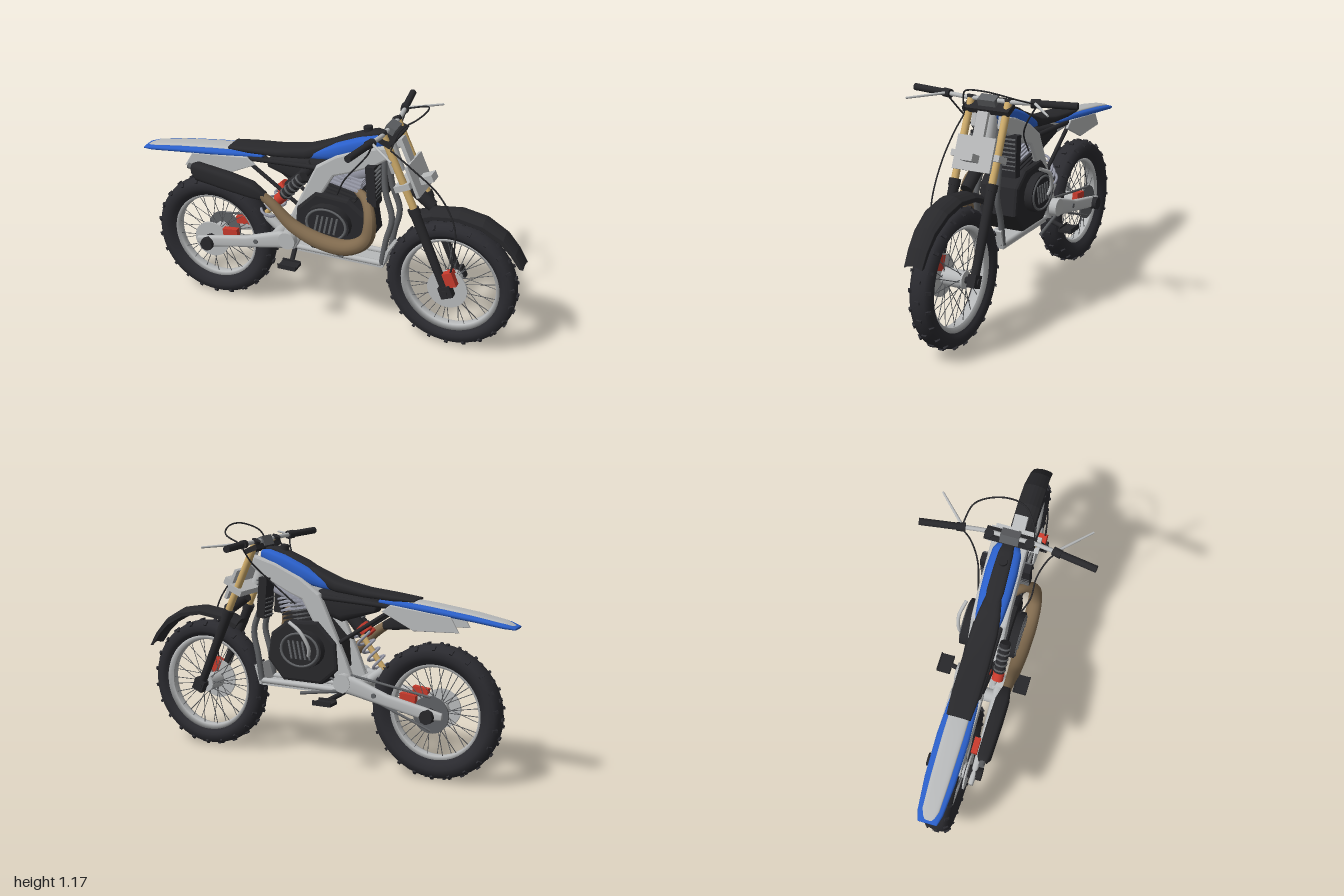
import * as THREE from 'three';
import { mergeGeometries } from 'three/addons/utils/BufferGeometryUtils.js';

const mat = (name, color) => {
  const m = new THREE.MeshStandardMaterial({ color, side: THREE.DoubleSide });
  m.name = name;
  return m;
};
const V = (p) => new THREE.Vector3(...p);

export function createModel() {
  const model = new THREE.Group();
  const rubber = mat('rubber', 0x2b2b30), black = mat('black plastic', 0x28282b), grey = mat('light grey', 0xb8babb);
  const blue = mat('blue', 0x2a5fc9), gold = mat('gold', 0xd0ad6b), bronze = mat('bronze', 0x806a4e);
  const red = mat('red', 0xc83a2c), steel = mat('dark steel', 0x5f6164), lilac = mat('pale alloy', 0x9b9dab);

  const add = (name, geo, material, parent = model) => {
    const m = new THREE.Mesh(geo, material);
    m.name = name;
    parent.add(m);
    return m;
  };
  const box = (name, size, pos, m, tilt = 0) => {
    const o = add(name, new THREE.BoxGeometry(...size), m);
    o.position.set(...pos);
    o.rotation.z = tilt;
    return o;
  };
  // straight cylinder between two points
  const rodGeo = (a, b, r0, r1 = r0, sides = 16) => {
    const A = V(a), B = V(b), d = B.clone().sub(A);
    const g = new THREE.CylinderGeometry(r1, r0, d.length(), sides);
    g.applyQuaternion(new THREE.Quaternion().setFromUnitVectors(new THREE.Vector3(0, 1, 0), d.normalize()));
    return g.translate(...A.add(B).multiplyScalar(0.5).toArray());
  };
  const rod = (name, a, b, r, m, r1 = r) => add(name, rodGeo(a, b, r, r1), m);
  // curved pipe, with an optional list of radius factors along its length
  const pipe = (name, pts, r, m, taper, sides = 10) => {
    const curve = new THREE.CatmullRomCurve3(pts.map(V)), n = 48;
    const g = new THREE.TubeGeometry(curve, n, r, sides);
    if (taper) {
      const p = g.attributes.position;
      for (let i = 0; i <= n; i++) {
        const c = curve.getPointAt(i / n), t = (i / n) * (taper.length - 1), k = Math.min(Math.floor(t), taper.length - 2);
        const f = THREE.MathUtils.lerp(taper[k], taper[k + 1], t - k);
        for (let j = 0; j <= sides; j++) {
          const q = i * (sides + 1) + j, v = new THREE.Vector3().fromBufferAttribute(p, q).sub(c).multiplyScalar(f).add(c);
          p.setXYZ(q, v.x, v.y, v.z);
        }
      }
      g.computeVertexNormals();
    }
    return add(name, g, m);
  };
  // side outline pulled out across z, centred on z
  const slab = (name, pts, z, width, m, bevel = 0.006, smooth = false) => {
    const v = pts.map((p) => new THREE.Vector2(...p));
    const shape = smooth ? new THREE.Shape().moveTo(...pts[0]).splineThru(v.slice(1)) : new THREE.Shape(v);
    const g = new THREE.ExtrudeGeometry(shape, { depth: width - 2 * bevel, bevelEnabled: bevel > 0, bevelSize: bevel, bevelThickness: bevel, bevelSegments: 2, curveSegments: 24, steps: 6 });
    return add(name, g.translate(0, 0, z - width / 2 + bevel), m);
  };
  // body along x from stations [x, top, bottom, half width]
  const loft = (name, st, m, n = 20) => {
    const pos = [], idx = [], pw = (v) => Math.sign(v) * Math.abs(v) ** 0.6;
    for (const [x, t, b, w] of st) for (let j = 0; j < n; j++) {
      const a = (j / n) * Math.PI * 2;
      pos.push(x, (t + b) / 2 + ((t - b) / 2) * pw(Math.sin(a)), w * pw(Math.cos(a)));
    }
    const last = st.length - 1;
    for (const i of [0, last]) pos.push(st[i][0], (st[i][1] + st[i][2]) / 2, 0);
    const c0 = st.length * n;
    for (let j = 0; j < n; j++) {
      const k = (j + 1) % n;
      for (let i = 0; i < last; i++) {
        const a = i * n + j, b = i * n + k;
        idx.push(a, a + n, b, b, a + n, b + n);
      }
      idx.push(c0, j, k, c0 + 1, last * n + k, last * n + j);
    }
    const g = new THREE.BufferGeometry();
    g.setAttribute('position', new THREE.Float32BufferAttribute(pos, 3));
    g.setIndex(idx);
    g.computeVertexNormals();
    return add(name, g, m);
  };
  const lathe = (pts) => new THREE.LatheGeometry(pts.map((p) => new THREE.Vector2(...p)), 64).rotateX(Math.PI / 2);

  // wheels: tyre, tread, rim, spokes, hub, disc
  const wheel = (name, x, rIn, w) => {
    const g = new THREE.Group();
    g.name = name;
    g.position.set(x, 0.332, 0);
    model.add(g);
    add('tyre', lathe([[rIn, -0.03], [rIn + 0.02, -0.8 * w], [0.275, -w], [0.305, -0.93 * w], [0.32, -0.55 * w], [0.325, 0], [0.32, 0.55 * w], [0.305, 0.93 * w], [0.275, w], [rIn + 0.02, 0.8 * w], [rIn, 0.03]]), rubber, g);
    const knobs = [], spokes = [];
    for (let i = 0; i < 44; i++) for (const s of [-1, 0, 1]) {
      if ((i + s + 1) % 2) continue;
      const k = new THREE.BoxGeometry(0.014, 0.024, 0.024).rotateX(s * 0.8);
      knobs.push(k.translate(0, s ? 0.308 : 0.32, s * w * 0.75).rotateZ((i / 44) * Math.PI * 2));
    }
    add('tread', mergeGeometries(knobs), rubber, g);
    add('rim', lathe([[rIn - 0.014, -0.02], [rIn + 0.008, -0.036], [rIn + 0.008, 0.036], [rIn - 0.014, 0.02], [rIn - 0.018, 0], [rIn - 0.014, -0.02]]), grey, g);
    for (let i = 0; i < 36; i++) {
      const a = (i / 36) * Math.PI * 2, b = a + (i % 4 < 2 ? 0.3 : -0.3), z = i % 2 ? 0.045 : -0.045;
      spokes.push(rodGeo([0.04 * Math.cos(b), 0.04 * Math.sin(b), z], [rIn * Math.cos(a), rIn * Math.sin(a), z * 0.2], 0.002, 0.002, 4));
    }
    add('spokes', mergeGeometries(spokes), steel, g);
    add('hub', rodGeo([0, 0, -0.055], [0, 0, 0.055], 0.042), grey, g);
    add('axle', rodGeo([0, 0, -0.125], [0, 0, 0.125], 0.016), black, g);
    return g;
  };
  const front = wheel('frontWheel', 0.65, 0.24, 0.055), rear = wheel('rearWheel', -0.615, 0.23, 0.06);
  add('brakeDisc', rodGeo([0, 0, 0.066], [0, 0, 0.074], 0.1, 0.1, 40), grey, front);
  add('brakeDisc', rodGeo([0, 0, 0.064], [0, 0, 0.072], 0.095, 0.095, 40), grey, rear);
  add('sprocket', rodGeo([0, 0, -0.078], [0, 0, -0.07], 0.09, 0.09, 40), steel, rear);
  add('axleNut', rodGeo([0, 0, -0.14], [0, 0, 0.14], 0.034, 0.034, 8), black, rear);

  // parts mirrored left and right
  for (const s of [-1, 1]) {
    rod('forkTube', [0.315, 1.09, s * 0.097], [0.495, 0.7, s * 0.097], 0.018, gold);
    rod('forkLeg', [0.475, 0.735, s * 0.097], [0.65, 0.335, s * 0.097], 0.025, black, 0.02);
    rod('forkSeal', [0.473, 0.74, s * 0.097], [0.487, 0.71, s * 0.097], 0.028, black);
    rod('forkCap', [0.31, 1.1, s * 0.097], [0.316, 1.085, s * 0.097], 0.022, black);
    box('axleClamp', [0.06, 0.06, 0.04], [0.655, 0.335, s * 0.1], black, 0.4);
    pipe('handlebar', [[0.32, 1.09, 0], [0.32, 1.09, s * 0.12], [0.31, 1.092, s * 0.2], [0.28, 1.095, s * 0.42]], 0.011, grey);
    rod('grip', [0.302, 1.093, s * 0.25], [0.275, 1.095, s * 0.425], 0.017, black);
    rod('leverMount', [0.31, 1.092, s * 0.21], [0.3, 1.093, s * 0.25], 0.021, black);
    rod('lever', [0.32, 1.095, s * 0.235], [0.455, 1.085, s * 0.365], 0.007, grey, 0.005);
    slab('frameSpar', [[-0.2, 0.45], [-0.15, 0.38], [-0.12, 0.45], [-0.11, 0.54], [0.06, 0.83], [0.14, 0.86], [0.27, 0.92], [0.34, 0.97], [0.33, 1.01], [0.22, 0.98], [0.08, 0.92], [-0.02, 0.85], [-0.16, 0.55]], s * 0.07, 0.035, grey, 0.01);
    loft('swingarm', [[-0.68, 0.352, 0.318, 0.012], [-0.6, 0.37, 0.31, 0.016], [-0.4, 0.41, 0.35, 0.018], [-0.22, 0.475, 0.385, 0.022], [-0.14, 0.47, 0.4, 0.02]], grey).position.z = s * 0.1;
    rod('pivotCap', [-0.17, 0.44, s * 0.07], [-0.17, 0.44, s * 0.125], 0.045, grey);
    rod('cradleTube', [-0.14, 0.39, s * 0.06], [0.31, 0.39, s * 0.06], 0.014, grey);
    pipe('downTube', [[0.3, 0.96, s * 0.03], [0.315, 0.78, s * 0.045], [0.355, 0.64, s * 0.055], [0.33, 0.52, s * 0.06], [0.31, 0.39, s * 0.06]], 0.015, steel);
    pipe('subframeTube', [[0.0, 0.84, s * 0.06], [-0.25, 0.83, s * 0.06], [-0.6, 0.81, s * 0.055]], 0.012, black);
    rod('subframeStrut', [-0.12, 0.62, s * 0.065], [-0.42, 0.82, s * 0.06], 0.01, black);
    slab('sidePanel', [[-0.74, 0.735], [-0.52, 0.725], [-0.36, 0.8], [-0.4, 0.83], [-0.7, 0.8]], s * 0.07, 0.014, grey, 0.004);
    // radiator with fins
    box('radiator', [0.045, 0.2, 0.075], [0.27, 0.82, s * 0.085], black, 0.08);
    for (let i = 0; i < 9; i++) box('radiatorFin', [0.052, 0.006, 0.07], [0.272, 0.735 + i * 0.021, s * 0.085], steel, 0.08);
    // foot pegs
    rod('pegArm', [-0.15, 0.38, s * 0.06], [-0.12, 0.36, s * 0.17], 0.012, black);
    box('footPeg', [0.095, 0.014, 0.07], [-0.12, 0.355, s * 0.2], black);
    for (const z of [0.17, 0.232]) box('pegEdge', [0.095, 0.024, 0.006], [-0.12, 0.36, s * z], black);
    box('rearCaliper', [0.08, 0.04, 0.03], [-0.5, 0.4, s * 0.075], red, 0.1);
    rod('swingarmBolt', [-0.34, 0.4, s * 0.1], [-0.34, 0.4, s * 0.125], 0.012, steel);
  }

  // steering head, clamps, front plate
  rod('steeringHead', [0.3, 1.03, 0], [0.36, 0.87, 0], 0.035, grey);
  box('topClamp', [0.07, 0.025, 0.24], [0.33, 1.055, 0], black, -0.42);
  box('barClamp', [0.05, 0.05, 0.09], [0.325, 1.08, 0], steel, -0.4);
  box('lowerClamp', [0.08, 0.03, 0.25], [0.425, 0.845, 0], grey, 0.42);
  const plate = box('frontPlate', [0.016, 0.16, 0.195], [0.455, 0.865, 0], grey, 0.42);
  plate.geometry.translate(0.01, 0, 0);
  box('plateNeck', [0.02, 0.13, 0.055], [0.4, 0.985, 0], grey, 0.42);
  box('lamp', [0.08, 0.035, 0.065], [0.505, 0.86, 0], grey, 0.42);
  rod('fenderMount', [0.43, 0.8, 0], [0.54, 0.72, 0], 0.03, black);
  box('frontCaliper', [0.05, 0.075, 0.05], [0.668, 0.4, 0.085], red, 0.4);
  rod('caliperHose', [0.67, 0.43, 0.1], [0.68, 0.5, 0.1], 0.005, black);

  // front fender, crowned and narrowed towards the tip
  const fender = slab('frontFender', [[0.46, 0.68], [0.55, 0.715], [0.68, 0.732], [0.8, 0.71], [0.9, 0.65], [0.96, 0.58], [1.0, 0.512], [0.985, 0.515], [0.94, 0.58], [0.885, 0.637], [0.79, 0.694], [0.68, 0.715], [0.56, 0.7], [0.47, 0.66]], 0, 0.116, black, 0.002);
  const fp = fender.geometry.attributes.position;
  for (let i = 0; i < fp.count; i++) {
    const z = fp.getZ(i) * (fp.getX(i) > 0.8 ? 1 - 1.1 * (fp.getX(i) - 0.8) : 1);
    fp.setXYZ(i, fp.getX(i), fp.getY(i) - 7 * z * z, z);
  }
  fender.geometry.computeVertexNormals();

  // bodywork
  loft('rearFender', [[-1, 0.774, 0.762, 0.045], [-0.95, 0.79, 0.765, 0.06], [-0.8, 0.815, 0.785, 0.073], [-0.6, 0.84, 0.805, 0.077], [-0.45, 0.855, 0.815, 0.07], [-0.33, 0.85, 0.83, 0.055]], blue);
  loft('fenderTop', [[-0.99, 0.777, 0.769, 0.025], [-0.94, 0.797, 0.78, 0.04], [-0.8, 0.822, 0.8, 0.046], [-0.6, 0.847, 0.82, 0.05], [-0.46, 0.86, 0.83, 0.05]], grey);
  loft('seat', [[-0.51, 0.864, 0.85, 0.058], [-0.4, 0.878, 0.846, 0.066], [-0.25, 0.892, 0.852, 0.067], [-0.1, 0.922, 0.865, 0.064], [-0.02, 0.955, 0.885, 0.055], [0.06, 0.99, 0.92, 0.04]], black);
  loft('tank', [[-0.09, 0.9, 0.87, 0.05], [-0.02, 0.935, 0.878, 0.066], [0.08, 0.99, 0.895, 0.075], [0.18, 1.03, 0.94, 0.077], [0.27, 1.052, 0.98, 0.07], [0.315, 1.045, 1.0, 0.05]], blue);
  loft('tankPad', [[0.0, 0.962, 0.93, 0.03], [0.08, 1.003, 0.95, 0.042], [0.18, 1.042, 0.99, 0.04], [0.25, 1.064, 1.02, 0.036], [0.3, 1.058, 1.03, 0.028]], black);
  rod('fuelCap', [0.21, 1.04, 0], [0.205, 1.072, 0], 0.022, black);
  loft('airBox', [[-0.3, 0.83, 0.78, 0.045], [-0.12, 0.86, 0.72, 0.05], [0.0, 0.87, 0.76, 0.05]], black);

  // engine
  slab('crankcase', [[-0.12, 0.5], [-0.04, 0.43], [0.16, 0.43], [0.24, 0.52], [0.22, 0.64], [0.14, 0.7], [-0.02, 0.71], [-0.11, 0.62]], 0, 0.2, black, 0.015);
  for (const s of [-1, 1]) {
    const cover = rod('engineCover', [0.05, 0.585, s * 0.09], [0.05, 0.585, s * 0.14], 0.1, black);
    cover.geometry.translate(-0.05, -0.585, 0).scale(1.2, 0.95, 1).translate(0.05, 0.585, 0);
    const ring = add('coverRing', new THREE.TorusGeometry(0.085, 0.006, 8, 32), steel);
    ring.scale.set(1.2, 0.95, 1);
    ring.position.set(0.05, 0.585, s * 0.14);
    for (let i = 0; i < 5; i++) box('coverRib', [0.01, 0.09, 0.008], [0.0 + i * 0.025, 0.585, s * 0.141], steel, -0.2);
  }
  rod('cylinder', [0.09, 0.68, 0], [0.13, 0.84, 0], 0.055, steel);
  for (let i = 0; i < 8; i++) box('coolingFin', [0.15, 0.009, 0.15], [0.092 + i * 0.006, 0.695 + i * 0.019, 0], i < 4 ? black : lilac, -0.2);
  loft('cylinderHead', [[0.03, 0.79, 0.76, 0.04], [0.09, 0.86, 0.78, 0.065], [0.18, 0.88, 0.81, 0.065], [0.25, 0.88, 0.83, 0.04]], lilac);
  rod('carburettor', [0.05, 0.75, 0], [-0.07, 0.77, 0], 0.035, steel);
  pipe('kickLever', [[0.0, 0.56, -0.14], [-0.01, 0.6, -0.155], [0.03, 0.68, -0.168], [0.1, 0.72, -0.15]], 0.009, grey);
  box('skidPlate', [0.46, 0.016, 0.13], [0.08, 0.375, 0], grey);
  box('skidNose', [0.016, 0.1, 0.14], [0.325, 0.42, 0], grey, -0.3);
  rod('brakePedal', [-0.16, 0.4, -0.11], [0.05, 0.37, -0.13], 0.008, steel);
  rod('shiftPedal', [0.0, 0.47, 0.13], [0.14, 0.43, 0.14], 0.008, steel);
  for (const y of [0.02, -0.01]) rod('chain', [-0.03, 0.48 + y, -0.075], [-0.615, 0.335 + y * 4 + (y < 0 ? -0.04 : 0), -0.075], 0.006, steel);

  // exhaust and silencer on the left flank
  pipe('exhaustPipe', [[0.16, 0.74, 0.03], [0.23, 0.74, 0.09], [0.275, 0.67, 0.14], [0.265, 0.56, 0.155], [0.18, 0.5, 0.16], [0.04, 0.5, 0.16], [-0.12, 0.56, 0.16], [-0.22, 0.65, 0.16], [-0.3, 0.705, 0.16]], 0.03, bronze, [0.7, 0.8, 1.05, 1.25, 1.35, 1.3, 1.1, 0.85, 0.7], 16);
  loft('silencer', [[-0.655, 0.79, 0.74, 0.022], [-0.63, 0.8, 0.71, 0.033], [-0.45, 0.775, 0.685, 0.036], [-0.33, 0.75, 0.67, 0.034], [-0.26, 0.705, 0.665, 0.02]], black).position.z = 0.158;
  rod('tailPipe', [-0.64, 0.765, 0.158], [-0.68, 0.775, 0.158], 0.014, steel);

  // rear shock
  rod('shockBody', [-0.06, 0.84, 0.03], [-0.22, 0.66, 0.03], 0.032, black);
  rod('shockReservoir', [-0.08, 0.8, 0.1], [-0.19, 0.68, 0.1], 0.026, black);
  for (let i = 0; i < 5; i++) rod('reservoirRing', [-0.095 - i * 0.02, 0.784 - i * 0.022, 0.1], [-0.1 - i * 0.02, 0.778 - i * 0.022, 0.1], 0.031, steel);
  rod('reservoirCap', [-0.19, 0.68, 0.1], [-0.22, 0.65, 0.1], 0.028, red);
  rod('shockCollar', [-0.2, 0.7, 0.03], [-0.23, 0.67, 0.03], 0.036, red);
  rod('shockShaft', [-0.22, 0.66, 0], [-0.34, 0.5, 0], 0.014, gold);
  const coil = [];
  for (let i = 0; i <= 40; i++) {
    const a = i * 0.7, t = i / 40, c = 0.038 * Math.cos(a);
    coil.push([-0.21 - 0.12 * t + 0.8 * c, 0.67 - 0.16 * t - 0.6 * c, 0.038 * Math.sin(a)]);
  }
  const spring = new THREE.CatmullRomCurve3(coil.map(V));
  add('shockSpring', new THREE.TubeGeometry(spring, 160, 0.007, 6), lilac);
  rod('shockLink', [-0.34, 0.5, 0], [-0.26, 0.44, 0], 0.025, grey);
  rod('swingarmBridge', [-0.24, 0.43, -0.1], [-0.24, 0.43, 0.1], 0.035, grey);

  // cables and hoses
  const cable = (pts) => pipe('cable', pts, 0.004, black, null, 6);
  cable([[0.31, 1.09, -0.23], [0.42, 1.13, -0.2], [0.47, 1.163, -0.08], [0.46, 1.16, 0.03], [0.4, 1.12, 0.09], [0.36, 1.02, 0.11]]);
  cable([[0.36, 1.02, 0.11], [0.46, 0.95, 0.11], [0.6, 0.83, 0.1], [0.68, 0.68, 0.1], [0.68, 0.5, 0.1]]);
  cable([[0.31, 1.08, 0.225], [0.28, 1.02, 0.19], [0.22, 0.94, 0.16], [0.15, 0.85, 0.155], [0.1, 0.75, 0.12]]);
  cable([[0.31, 1.08, -0.235], [0.29, 1.0, -0.18], [0.23, 0.92, -0.13], [0.1, 0.8, -0.09]]);
  return model;
}
